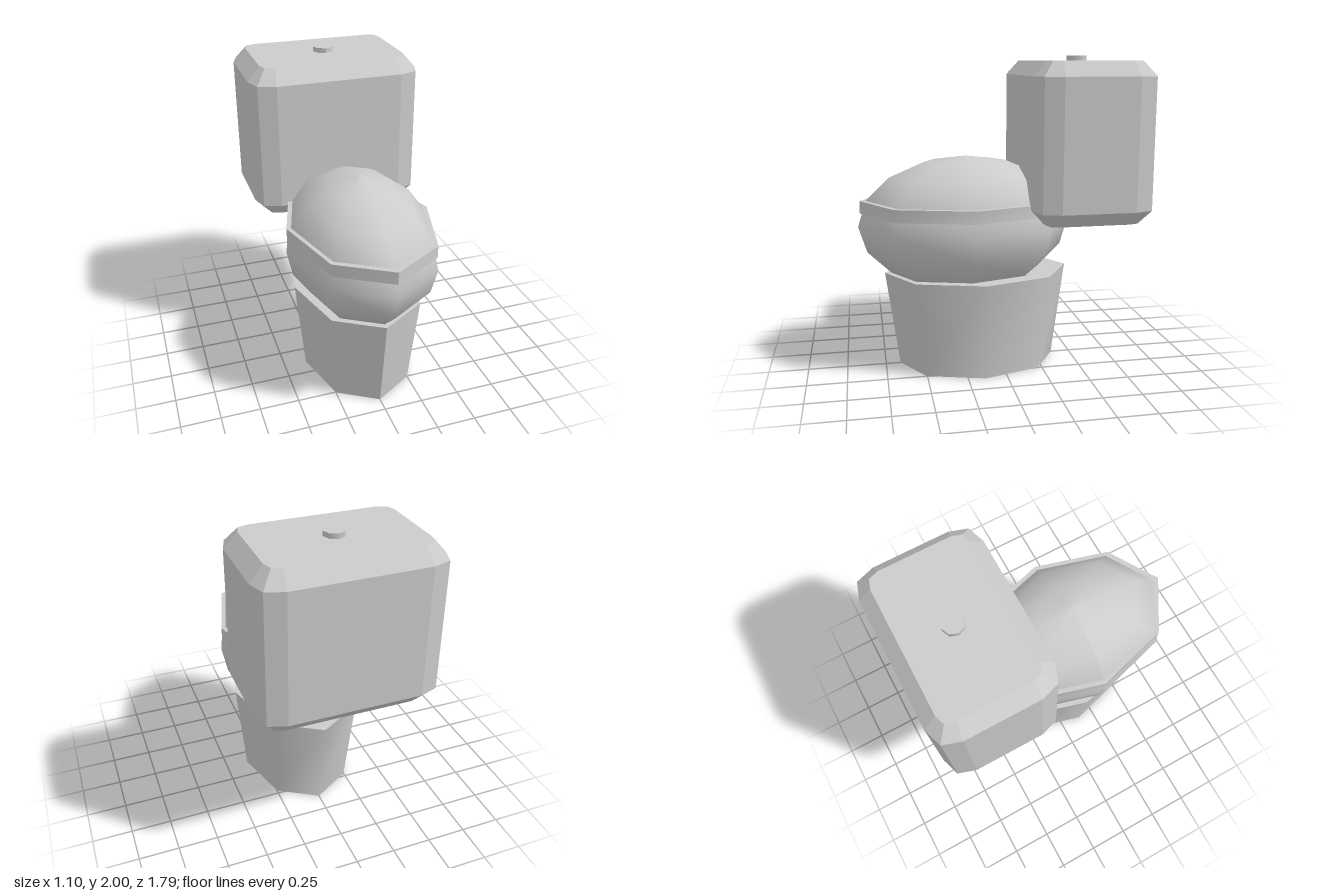
import * as THREE from 'three';

export function createModel() {
  const model = new THREE.Group();
  const porcelain = new THREE.MeshStandardMaterial({ color: 0xcccccc });
  porcelain.name = 'porcelain';

  const add = (name, geometry, y, z) => {
    const mesh = new THREE.Mesh(geometry, porcelain);
    mesh.name = name;
    mesh.position.set(0, y, z);
    model.add(mesh);
  };

  // Eight-sided oval drum, stretched along z
  const drum = (top, bottom, height, stretch) => {
    const geometry = new THREE.CylinderGeometry(top, bottom, height, 8);
    geometry.scale(1, 1, stretch);
    geometry.computeVertexNormals();
    return geometry;
  };

  // Tapered pedestal
  add('pedestal', drum(0.41, 0.352, 0.625, 1.463), 0.3125, 0.14);

  // Bowl and domed lid form one stretched ball
  const ball = new THREE.SphereGeometry(1, 8, 8);
  ball.scale(0.47, 0.44, 0.687);
  ball.computeVertexNormals();
  add('bowlAndLid', ball, 0.935, 0.212);

  // Seat band around the bowl
  add('seat', drum(0.463, 0.463, 0.08, 1.458), 1.063, 0.21);

  // Tank: rounded rectangle with chamfered top and bottom
  const w = 0.47, d = 0.296, r = 0.08;
  const outline = new THREE.Shape();
  outline.moveTo(-w + r, -d);
  outline.lineTo(w - r, -d);
  outline.quadraticCurveTo(w, -d, w, -d + r);
  outline.lineTo(w, d - r);
  outline.quadraticCurveTo(w, d, w - r, d);
  outline.lineTo(-w + r, d);
  outline.quadraticCurveTo(-w, d, -w, d - r);
  outline.lineTo(-w, -d + r);
  outline.quadraticCurveTo(-w, -d, -w + r, -d);
  const tank = new THREE.ExtrudeGeometry(outline, {
    depth: 0.803, curveSegments: 2,
    bevelEnabled: true, bevelSegments: 1, bevelThickness: 0.09, bevelSize: 0.081,
  });
  tank.rotateX(-Math.PI / 2);
  add('tank', tank, 1.077, -0.517);

  // Flush button, sunk slightly into the tank top
  add('flushButton', drum(0.067, 0.067, 0.06, 1), 1.97, -0.517);

  return model;
}
